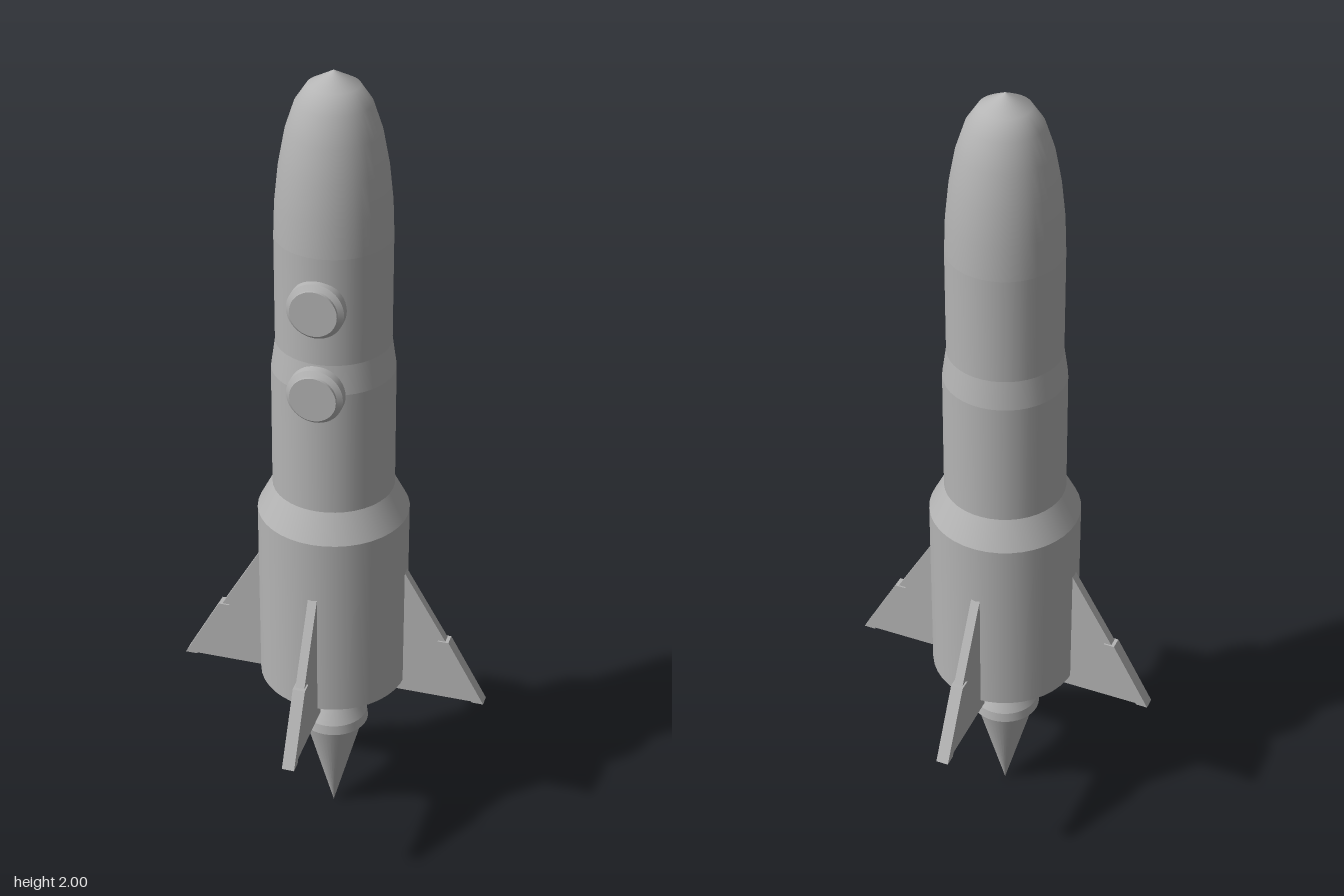
import * as THREE from 'three';

export function createModel() {
  const rocket = new THREE.Group();
  const grey = new THREE.MeshStandardMaterial({ color: 0xb4b4b4 });
  grey.name = 'grey';

  const add = (parent, name, geometry) => {
    const mesh = new THREE.Mesh(geometry, grey);
    mesh.name = name;
    parent.add(mesh);
    return mesh;
  };

  // Revolved surface from [radius, height] pairs listed bottom to top
  const lathe = (points) =>
    new THREE.LatheGeometry(points.map(([r, y]) => new THREE.Vector2(r, y)), 40);

  // Revolved part with a hard edge at every profile point
  const turned = (name, points) => {
    const group = new THREE.Group();
    group.name = name;
    for (let i = 0; i < points.length - 1; i++) {
      add(group, name + 'Band', lathe([points[i], points[i + 1]]));
    }
    return group;
  };

  // Stepped fuselage, closed underneath
  rocket.add(turned('body', [
    [0, 0.435], [0.18, 0.435], [0.18, 0.91], [0.144, 0.98],
    [0.143, 1.29], [0.133, 1.36], [0.133, 1.62],
  ]));

  // Rounded nose with a slight point
  add(rocket, 'nose', lathe([
    [0.133, 1.62], [0.13, 1.7], [0.121, 1.785], [0.106, 1.865],
    [0.085, 1.928], [0.058, 1.968], [0, 2],
  ]));

  // Engine neck and flared bell
  rocket.add(turned('nozzle', [
    [0, 0.28], [0.086, 0.28], [0.083, 0.305], [0.048, 0.375], [0.055, 0.436],
  ]));

  // Exhaust flame
  add(rocket, 'flame', lathe([[0, 0], [0.075, 0.28]]));

  // Portholes: rim, bevel and raised pane, facing forward
  for (const [y, z] of [[1.5, 0.125], [1.29, 0.132]]) {
    const porthole = turned('porthole', [
      [0.066, 0], [0.066, 0.022], [0.054, 0.03], [0.054, 0.037], [0, 0.037],
    ]);
    porthole.rotation.x = Math.PI / 2;
    porthole.position.set(0, y, z);
    rocket.add(porthole);
  }

  // Flat plate in the x-y plane, centred on z = 0
  const plate = (corners, depth) => {
    const shape = new THREE.Shape(corners.map(([x, y]) => new THREE.Vector2(x, y)));
    return new THREE.ExtrudeGeometry(shape, { depth, bevelEnabled: false })
      .translate(0, 0, -depth / 2);
  };
  const finPlate = plate(
    [[0.155, 0.405], [0.38, 0.405], [0.178, 0.755], [0.155, 0.755]], 0.022);
  const finEdge = plate(
    [[0.355, 0.405], [0.384, 0.405], [0.292, 0.572], [0.265, 0.572]], 0.03);

  // Four fins with a thicker strip along the outer edge
  for (let i = 0; i < 4; i++) {
    const fin = new THREE.Group();
    fin.name = 'fin';
    add(fin, 'finPlate', finPlate);
    add(fin, 'finEdge', finEdge);
    fin.rotation.y = (i * Math.PI) / 2;
    rocket.add(fin);
  }

  return rocket;
}
